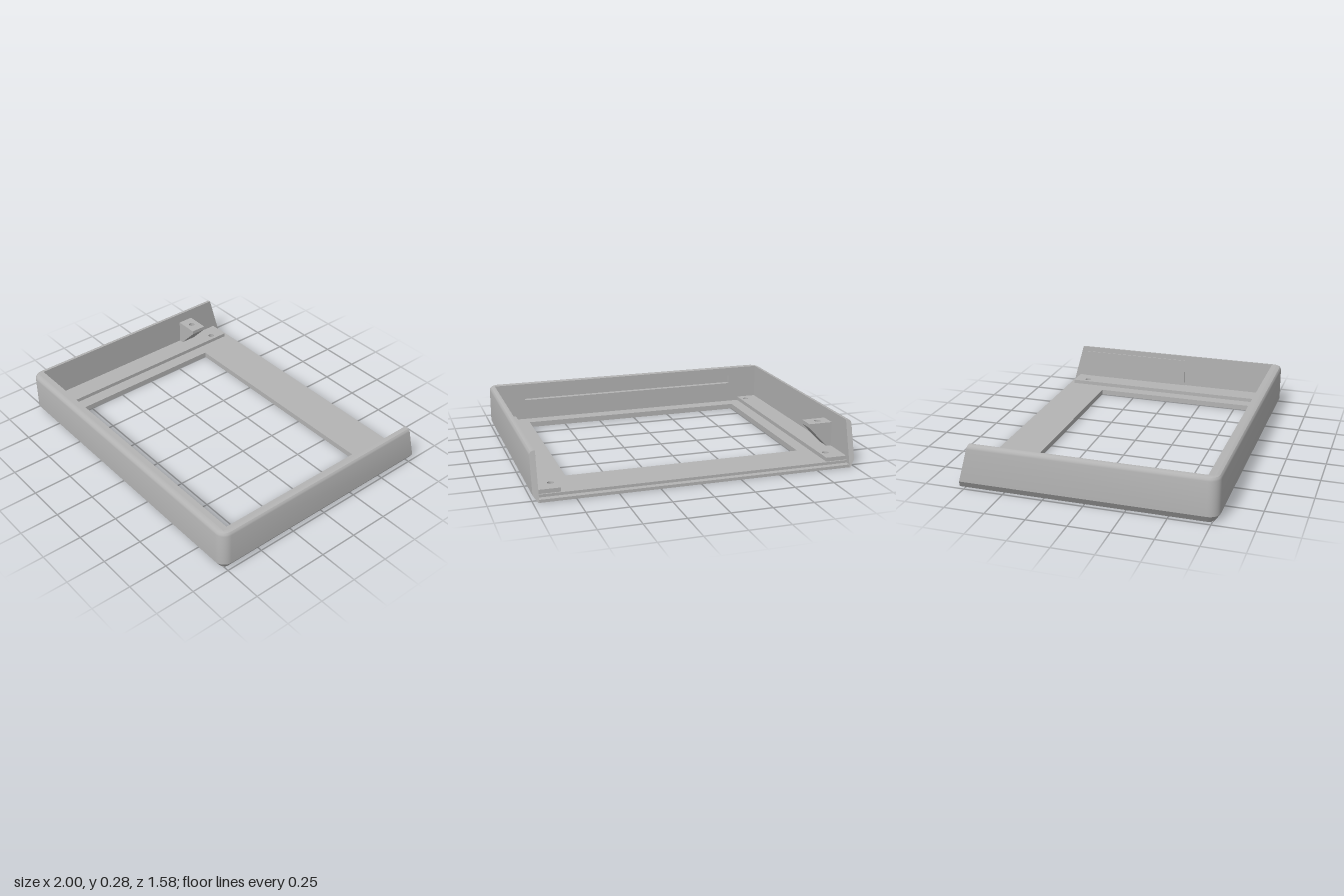
import * as THREE from 'three';
import { toCreasedNormals } from 'three/addons/utils/BufferGeometryUtils.js';

const T = 0.035;                            // wall thickness
const H = 0.285;                            // wall height
const backZ = (y) => -0.79 + 0.28 * y;      // sloping rear ends of the walls

// Rectangle with optional rectangular or round holes
function plateShape(x0, y0, x1, y1) {
  const s = new THREE.Shape();
  s.moveTo(x0, y0).lineTo(x1, y0).lineTo(x1, y1).lineTo(x0, y1).closePath();
  return s;
}
function roundHole(x, y, r = 0.02) {
  const p = new THREE.Path();
  p.absarc(x, y, r, 0, Math.PI * 2, true);
  return p;
}
const extrude = (shape, depth) =>
  new THREE.ExtrudeGeometry(shape, { depth, bevelEnabled: false, curveSegments: 16 });

// Horizontal plate: shape y is -z, bottom at height y
function flatPlate(shape, y, depth) {
  return extrude(shape, depth).rotateX(-Math.PI / 2).translate(0, y, 0);
}

// U-shaped wall: a chamfered and rounded profile swept round three sides
function wallGeometry() {
  const R = 0.065, cx = 1 - R, cz = 0.79 - R, steps = 8;
  const path = [{ x: 1, nx: 1, nz: 0, end: true }];
  for (const side of [0, 1]) {
    for (let i = 0; i <= steps; i++) {
      const a = (side + i / steps) * Math.PI / 2;
      const nx = Math.cos(a), nz = Math.sin(a);
      path.push({ x: (side ? -cx : cx) + R * nx, z: cz + R * nz, nx, nz });
    }
  }
  path.push({ x: -1, nx: -1, nz: 0, end: true });

  // inset from the outside, height
  const profile = [[0.03, 0], [0, 0.045], [0, 0.26], [0.003, 0.271], [0.01, 0.28],
    [0.024, H], [T, H], [T, 0]];
  const n = profile.length;
  const rings = path.map((p) => profile.map(([d, y]) => {
    const inner = d === T, lim = 1 - T;
    const z = p.end ? backZ(y) : p.z;
    if (inner) {
      return [THREE.MathUtils.clamp(p.end ? p.x : p.x * 1.04, -lim, lim), y,
        p.end ? z : Math.min(z, 0.79 - T)];
    }
    return [p.x - p.nx * d, y, z - p.nz * d];
  }));

  const pos = [];
  const tri = (a, b, c) => pos.push(...a, ...b, ...c);
  for (let i = 0; i < rings.length - 1; i++) {
    for (let j = 0; j < n; j++) {
      const k = (j + 1) % n;
      const a = rings[i][j], b = rings[i][k], c = rings[i + 1][k], d = rings[i + 1][j];
      tri(a, b, c);
      tri(a, c, d);
    }
  }
  // rear end caps
  const first = rings[0], last = rings[rings.length - 1];
  for (let j = 1; j < n - 1; j++) {
    tri(first[0], first[j + 1], first[j]);
    tri(last[0], last[j], last[j + 1]);
  }
  const geo = new THREE.BufferGeometry();
  geo.setAttribute('position', new THREE.Float32BufferAttribute(pos, 3));
  return toCreasedNormals(geo, 0.55);
}

export function createModel() {
  const group = new THREE.Group();
  const gray = new THREE.MeshStandardMaterial({ color: 0xb4b4b4 });
  gray.name = 'plain gray';
  const add = (name, geo, parent = group) => {
    const m = new THREE.Mesh(geo, gray);
    m.name = name;
    parent.add(m);
    return m;
  };
  const W = 1 - T;

  add('outerWall', wallGeometry());

  // Inner front panel with a long slot
  const front = plateShape(-W, 0.035, W, H);
  front.holes.push(plateShape(-0.76, 0.17, 0.76, 0.228));
  add('frontSlotPanel', extrude(front, 0.035).translate(0, 0, 0.72));

  // Floor with the large window
  const floor = plateShape(-W, -0.755, W, 0.75);
  floor.holes.push(plateShape(-0.75, -0.63, 0.75, 0.49));
  add('floorFrame', flatPlate(floor, 0, 0.035));

  // Lower step along the open back edge
  add('backLip', flatPlate(plateShape(-W, 0.75, W, 0.787), 0, 0.018));

  // Raised side ledges with screw holes
  for (const s of [1, -1]) {
    const ledge = plateShape(s > 0 ? 0.83 : -W, -0.72, s > 0 ? W : -0.83, 0.74);
    ledge.holes.push(roundHole(s * 0.87, 0.645), roundHole(s * 0.87, -0.655));
    add(s > 0 ? 'leftLedge' : 'rightLedge', flatPlate(ledge, 0.035, 0.025));
  }

  // Thin panel on the inside of the left wall
  add('leftInnerPanel', new THREE.BoxGeometry(0.006, 0.19, 0.77).translate(W - 0.003, 0.155, -0.305));

  // Mounting bracket: drilled top plate on a sloping gusset
  const bracket = new THREE.Group();
  bracket.name = 'bracket';
  group.add(bracket);
  const top = plateShape(-W, 0.425, -0.81, 0.53);
  top.holes.push(roundHole(-0.89, 0.478));
  add('bracketTop', flatPlate(top, 0.19, 0.025), bracket);
  const gusset = new THREE.Shape();
  gusset.moveTo(-W, 0.06).lineTo(-0.935, 0.06).lineTo(-0.81, 0.19).lineTo(-W, 0.19).closePath();
  add('bracketGusset', extrude(gusset, 0.105).translate(0, 0, -0.53), bracket);

  return group;
}
